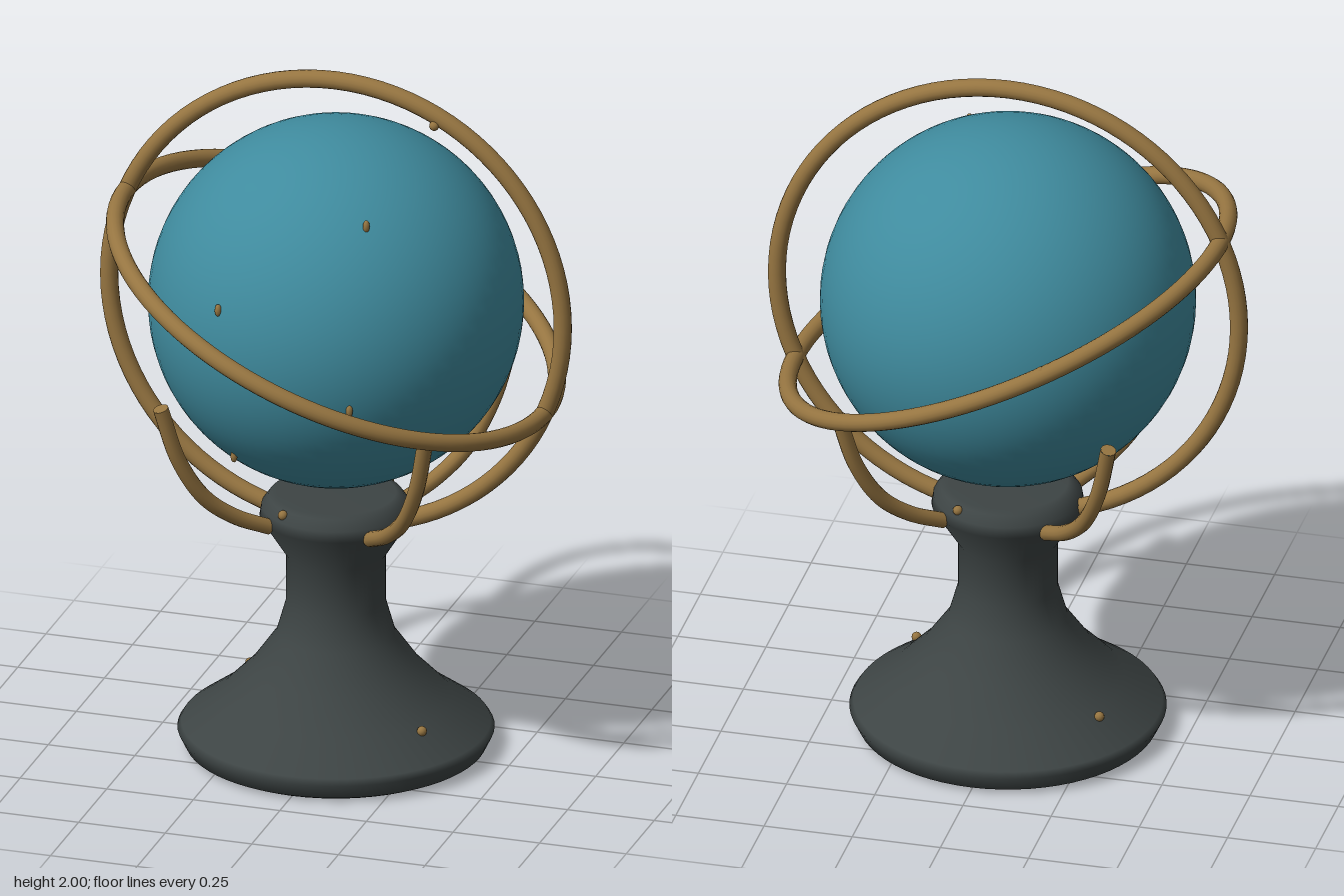
import * as THREE from 'three';

const CENTER_Y = 1.32;

function material(name, color) {
  const m = new THREE.MeshStandardMaterial({ color });
  m.name = name;
  return m;
}

export function createModel() {
  const teal = material('teal', 0x3f8b9e);
  const brass = material('brass', 0x967541);
  const charcoal = material('charcoal', 0x3d4444);
  const model = new THREE.Group();
  model.name = 'globeOnStand';

  function add(name, geometry, mat, parent = model) {
    const mesh = new THREE.Mesh(geometry, mat);
    mesh.name = name;
    parent.add(mesh);
    return mesh;
  }

  // Flared pedestal with a narrow neck and a rounded collar
  const profile = [
    [0, 0], [0.39, 0], [0.415, 0.012], [0.436, 0.055], [0.425, 0.072],
    [0.32, 0.148], [0.235, 0.235], [0.164, 0.335], [0.137, 0.43], [0.137, 0.57],
    [0.21, 0.685], [0.205, 0.715], [0.185, 0.743], [0.165, 0.75], [0, 0.75],
  ].map(([r, y]) => new THREE.Vector2(r, y));
  add('pedestal', new THREE.LatheGeometry(profile, 64), charcoal);

  // Sphere
  add('globe', new THREE.SphereGeometry(0.517, 64, 40), teal).position.y = CENTER_Y;

  // Upright ring and the tilted ring around the equator
  const ringGeometry = new THREE.TorusGeometry(0.655, 0.025, 16, 96);
  add('uprightRing', ringGeometry, brass).position.y = CENTER_Y;
  const tilt = new THREE.Group();
  tilt.name = 'tiltedRing';
  tilt.position.y = CENTER_Y;
  tilt.rotation.z = -0.405;
  model.add(tilt);
  add('equatorRing', ringGeometry, brass, tilt).rotation.x = Math.PI / 2;

  // Four curved arms on the diagonals; points are distance from axis and height
  const armPath = new THREE.CatmullRomCurve3([
    [0.205, 0.685], [0.31, 0.735], [0.405, 0.81], [0.485, 0.935], [0.541, 1.1],
  ].map(([r, y]) => new THREE.Vector3(r, y, 0)));
  const armGeometry = new THREE.TubeGeometry(armPath, 32, 0.022, 12);
  const capGeometry = new THREE.CircleGeometry(0.022, 12);
  for (let i = 0; i < 4; i++) {
    const arm = new THREE.Group();
    arm.name = 'arm' + (i + 1);
    arm.rotation.y = Math.PI / 4 + i * Math.PI / 2;
    model.add(arm);
    add('armTube', armGeometry, brass, arm);
    for (const end of [0, 1]) {
      const cap = add('armEnd', capGeometry, brass, arm);
      const out = armPath.getTangentAt(end).multiplyScalar(end ? 1 : -1);
      cap.position.copy(armPath.getPointAt(end));
      cap.quaternion.setFromUnitVectors(new THREE.Vector3(0, 0, 1), out);
    }
  }

  // Small brass studs on globe, rings and pedestal
  const studGeometry = new THREE.SphereGeometry(0.014, 12, 8);
  const studs = [
    [0.19, 1.69, 0.316], [-0.19, 1.45, 0.464], [0.19, 1.2, 0.467], [-0.19, 0.96, 0.322],
    [0.29, 1.885, 0.02], [-0.245, 1.44, -0.597],
    [0.3, 0.14, 0.16], [-0.3, 0.14, -0.16], [-0.1, 0.733, 0.165], [0.1, 0.733, -0.165],
  ];
  studs.forEach(([x, y, z], i) => {
    const stud = add('stud' + (i + 1), studGeometry, brass);
    stud.position.set(x, y, z);
    if (i < 4) stud.scale.set(0.7, 1.3, 0.7);
  });

  return model;
}
